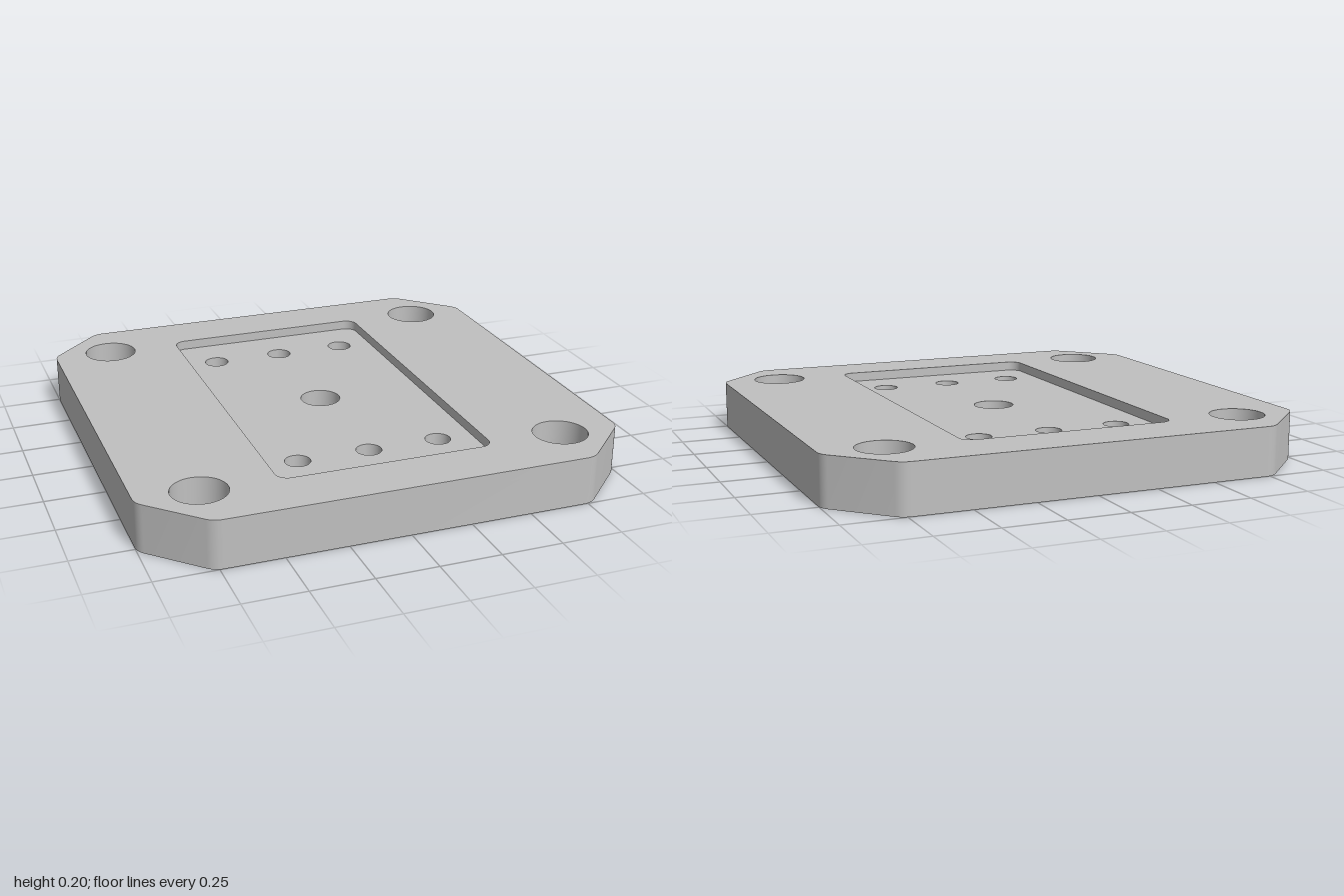
import * as THREE from 'three';
import { toCreasedNormals } from 'three/addons/utils/BufferGeometryUtils.js';

const HEIGHT = 0.2, POCKET_FLOOR = 0.16, BORE_FLOOR = 0.08;

const circle = (x, y, r, n = 48) => Array.from({ length: n }, (_, i) => {
  const a = (i / n) * Math.PI * 2;
  return new THREE.Vector2(x + r * Math.cos(a), y + r * Math.sin(a));
});

// Convex anticlockwise polygon with every corner filleted
function filleted(corners, r, steps = 8) {
  const pts = [], n = corners.length;
  const p = corners.map(c => new THREE.Vector2(...c));
  for (let i = 0; i < n; i++) {
    const dirIn = p[i].clone().sub(p[(i + n - 1) % n]).normalize();
    const dirOut = p[(i + 1) % n].clone().sub(p[i]).normalize();
    const turn = Math.acos(dirIn.dot(dirOut)), start = dirIn.angle() - Math.PI / 2;
    const centre = p[i].clone().addScaledVector(dirIn, -r * Math.tan(turn / 2))
      .add(new THREE.Vector2(-dirIn.y, dirIn.x).multiplyScalar(r));
    for (let k = 0; k <= steps; k++) {
      const a = start + turn * k / steps;
      pts.push(new THREE.Vector2(centre.x + r * Math.cos(a), centre.y + r * Math.sin(a)));
    }
  }
  return pts;
}

// Flat horizontal face with holes, at height y
function cap(outline, holes, y, down = false) {
  const shape = new THREE.Shape(outline);
  shape.holes = holes.map(h => new THREE.Path(h));
  return new THREE.ShapeGeometry(shape).rotateX(down ? Math.PI / 2 : -Math.PI / 2).translate(0, y, 0);
}

// Vertical wall along a closed outline, facing out or into the opening
function wall(outline, y0, y1, inward = true) {
  const pts = inward ? [...outline].reverse() : outline, pos = [];
  pts.forEach((a, i) => {
    const b = pts[(i + 1) % pts.length];
    pos.push(a.x, y0, -a.y, b.x, y0, -b.y, b.x, y1, -b.y);
    pos.push(a.x, y0, -a.y, b.x, y1, -b.y, a.x, y1, -a.y);
  });
  const g = new THREE.BufferGeometry();
  g.setAttribute('position', new THREE.Float32BufferAttribute(pos, 3));
  return toCreasedNormals(g, Math.PI / 6);
}

export function createModel() {
  const model = new THREE.Group();
  model.name = 'mountingPlate';
  const metal = new THREE.MeshStandardMaterial({ color: 0xc0c0c0 });
  metal.name = 'plain grey metal';
  const add = (name, geometry) => {
    const mesh = new THREE.Mesh(geometry, metal);
    mesh.name = name;
    model.add(mesh);
  };

  // Outlines
  const c = 0.767, px = 0.446, pz = 0.767;
  const plate = filleted([[1, -c], [1, c], [c, 1], [-c, 1], [-1, c], [-1, -c], [-c, -1], [c, -1]], 0.08);
  const pocket = filleted([[px, -pz], [px, pz], [-px, pz], [-px, -pz]], 0.05);
  const corners = [-0.75, 0.75].flatMap(x => [-0.75, 0.75].map(z => [x, z]));
  const bores = corners.map(([x, z]) => circle(x, z, 0.112));
  const boltHoles = corners.map(([x, z]) => circle(x, z, 0.064));
  const pocketHoles = [-0.3, 0, 0.3].flatMap(x => [-0.56, 0.56].map(z => circle(x, z, 0.052)));
  pocketHoles.push(circle(0, 0, 0.084));

  // Plate body
  add('plateTop', cap(plate, [pocket, ...bores], HEIGHT));
  add('plateBottom', cap(plate, [...boltHoles, ...pocketHoles], 0, true));
  add('plateSide', wall(plate, 0, HEIGHT, false));

  // Shallow pocket with its through holes
  add('pocketFloor', cap(pocket, pocketHoles, POCKET_FLOOR));
  add('pocketWall', wall(pocket, POCKET_FLOOR, HEIGHT));
  pocketHoles.forEach(h => add('pocketHole', wall(h, 0, POCKET_FLOOR)));

  // Counterbored bolt holes at the corners
  bores.forEach((bore, i) => {
    add('counterboreWall', wall(bore, BORE_FLOOR, HEIGHT));
    add('counterboreFloor', cap(bore, [boltHoles[i]], BORE_FLOOR));
    add('boltHole', wall(boltHoles[i], 0, BORE_FLOOR));
  });
  return model;
}
